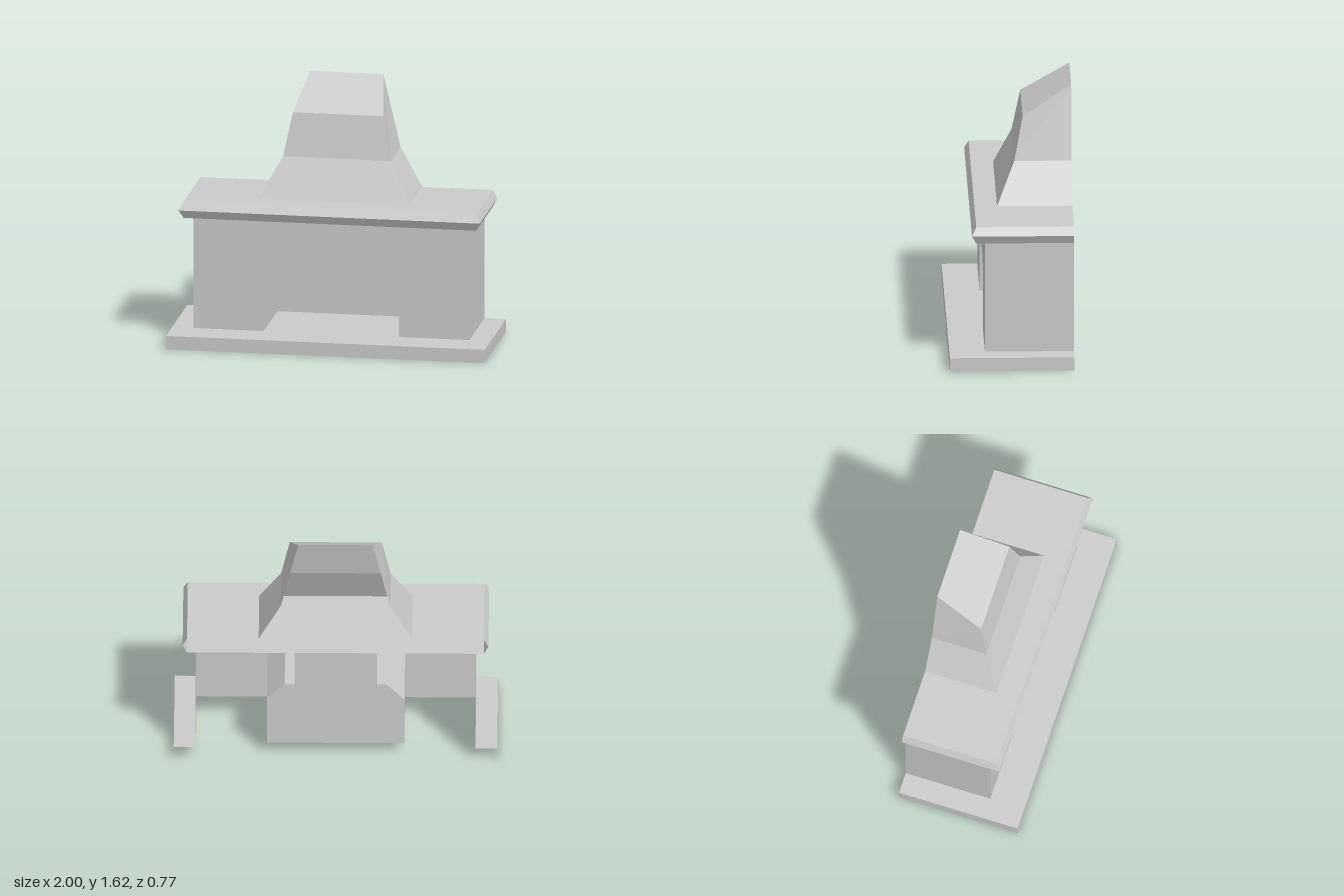
import * as THREE from 'three';

const BACK = -0.385, BODY_X = 0.865, BODY_Z = 0.165;
const BASE_Y = 0.085, MANTEL_Y = 0.8;
const FIRE_X = 0.425, FIRE_BACK = -0.33, ARCH_Y = 0.525;
const FLUE_X = 0.255, FLUE_Z = 0.05;

const material = new THREE.MeshStandardMaterial({
  color: 0xcccccc, flatShading: true, side: THREE.DoubleSide,
});

function addMesh(parent, name, geometry) {
  const mesh = new THREE.Mesh(geometry, material);
  mesh.name = name;
  parent.add(mesh);
  return mesh;
}

// Skin between successive rows of [x, y, z] points
function loft(rows) {
  const pos = [];
  for (let r = 0; r + 1 < rows.length; r++) {
    const a = rows[r], b = rows[r + 1];
    for (let i = 0; i + 1 < a.length; i++) {
      pos.push(...a[i], ...a[i + 1], ...b[i + 1], ...a[i], ...b[i + 1], ...b[i]);
    }
  }
  const geometry = new THREE.BufferGeometry();
  geometry.setAttribute('position', new THREE.Float32BufferAttribute(pos, 3));
  geometry.computeVertexNormals();
  return geometry;
}

// Three-sided row, open at the back
const row = (y, halfX, front, back = BACK) => [
  [-halfX, y, back], [-halfX, y, front], [halfX, y, front], [halfX, y, back],
];

const shapeOf = (points) => new THREE.Shape(points.map(([x, y]) => new THREE.Vector2(x, y)));

// Mirror the right half of an outline to close it
const mirrored = (half) => [...half, ...half.map(([x, y]) => [-x, y]).reverse()];

// Flat horizontal face from [x, z] points
function level(points, y) {
  return new THREE.ShapeGeometry(shapeOf(points.map(([x, z]) => [x, -z])))
    .rotateX(-Math.PI / 2).translate(0, y, 0);
}

const rect = (halfX, front, back = BACK) =>
  [[-halfX, front], [halfX, front], [halfX, back], [-halfX, back]];

export function createModel() {
  const model = new THREE.Group();
  model.name = 'fireplace';

  // Hearth slab: rim and top, left open inside the body walls
  const hearth = new THREE.Group();
  hearth.name = 'hearth';
  model.add(hearth);
  addMesh(hearth, 'hearthRim', loft([row(0, 1, 0.385), row(BASE_Y, 1, 0.385)]));
  addMesh(hearth, 'hearthTop', level(mirrored([
    [1, 0.385], [1, BACK], [BODY_X, BACK], [BODY_X, BODY_Z],
    [FIRE_X, BODY_Z], [FIRE_X, FIRE_BACK],
  ]), BASE_Y));

  // Body: front wall around the opening, and two side walls
  const body = new THREE.Group();
  body.name = 'body';
  model.add(body);
  const arch = [[FIRE_X, BASE_Y], [FIRE_X, 0.415], [0.315, ARCH_Y]];
  addMesh(body, 'frontWall', new THREE.ShapeGeometry(shapeOf(mirrored([
    ...[...arch].reverse(), [BODY_X, BASE_Y], [BODY_X, MANTEL_Y],
  ].reverse()))).translate(0, 0, BODY_Z));
  for (const s of [-1, 1]) {
    addMesh(body, s > 0 ? 'leftWall' : 'rightWall',
      new THREE.PlaneGeometry(BODY_Z - BACK, MANTEL_Y - BASE_Y)
        .rotateY(s * Math.PI / 2)
        .translate(s * BODY_X, (MANTEL_Y + BASE_Y) / 2, (BODY_Z + BACK) / 2));
  }

  // Firebox: chamfered lining, back wall and flue
  const firebox = new THREE.Group();
  firebox.name = 'firebox';
  model.add(firebox);
  const lining = [...arch, [FLUE_X, ARCH_Y]];
  for (const s of [-1, 1]) {
    const edge = (z) => lining.map(([x, y]) => [s * x, y, z]);
    const ends = [edge(FIRE_BACK), edge(BODY_Z)];
    addMesh(firebox, s > 0 ? 'leftLining' : 'rightLining', loft(s > 0 ? ends : ends.reverse()));
  }
  addMesh(firebox, 'ceiling', level(rect(FLUE_X, BODY_Z, FLUE_Z), ARCH_Y));
  addMesh(firebox, 'flue', loft([
    row(ARCH_Y, FLUE_X, FLUE_Z, FIRE_BACK), row(MANTEL_Y, FLUE_X, FLUE_Z, FIRE_BACK),
  ]));
  addMesh(firebox, 'fireboxBack', new THREE.ShapeGeometry(shapeOf(mirrored([
    ...lining, [FLUE_X, MANTEL_Y],
  ]))).translate(0, 0, FIRE_BACK));

  // Mantel shelf with a pointed edge
  const mantel = new THREE.Group();
  mantel.name = 'mantel';
  model.add(mantel);
  addMesh(mantel, 'mantelEdge', loft([
    row(MANTEL_Y, 0.918, 0.22), row(0.853, 0.945, 0.247), row(0.905, 0.918, 0.22),
  ]));
  addMesh(mantel, 'mantelTop', level(rect(0.918, 0.22), 0.905));
  addMesh(mantel, 'mantelUnderside', level(rect(0.918, 0.22), MANTEL_Y));

  // Tapered hood with a sloping top, open at the back
  const front = [[-0.285, 1.425, -0.083], [0.285, 1.425, -0.083]];
  const rear = [[-0.23, 1.615, BACK], [0.23, 1.615, BACK]];
  const hood = new THREE.Group();
  hood.name = 'hood';
  model.add(hood);
  addMesh(hood, 'hoodWalls', loft([
    row(0.905, 0.475, 0.08), row(1.155, 0.338, -0.03), [rear[0], ...front, rear[1]],
  ]));
  addMesh(hood, 'hoodTop', loft([front, rear]));

  return model;
}
